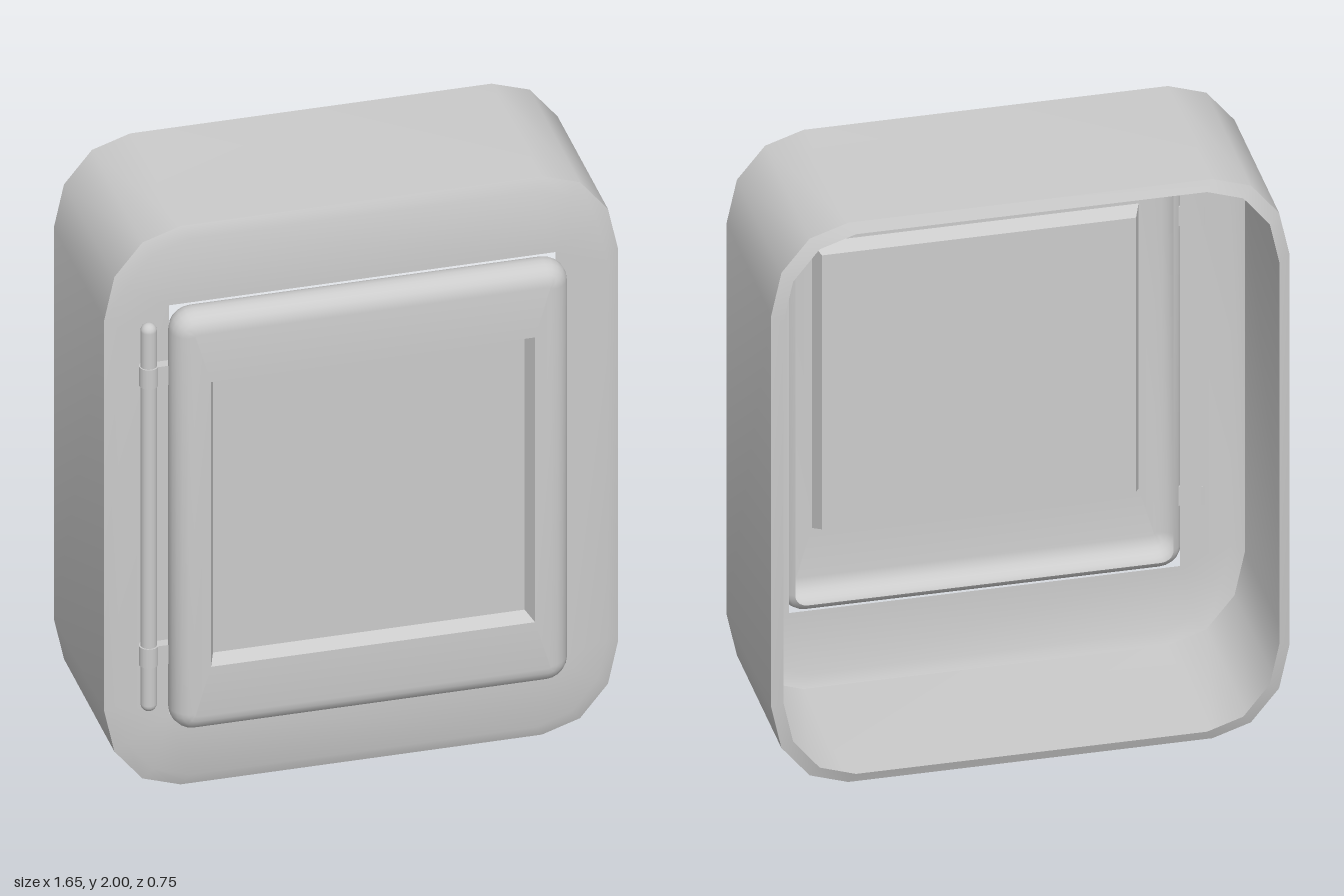
import * as THREE from 'three';
import { toCreasedNormals } from 'three/addons/utils/BufferGeometryUtils.js';

const CY = 1; // height of the centre of the cabinet
const material = new THREE.MeshStandardMaterial({ color: 0xcccccc, side: THREE.DoubleSide });

// Rounded rectangle around (0, CY), counter-clockwise, with n segments per corner
function ring(hx, hy, rx, ry, z, n) {
  const points = [];
  const signs = [[1, 1], [-1, 1], [-1, -1], [1, -1]];
  signs.forEach(([sx, sy], q) => {
    for (let i = 0; i <= n; i++) {
      const a = (q + i / n) * Math.PI / 2;
      points.push([sx * (hx - rx) + rx * Math.cos(a), CY + sy * (hy - ry) + ry * Math.sin(a), z]);
    }
  });
  return points;
}

// Skin over successive rings, from the front inner ring to the back one
function loft(rings, crease, closeFront = false) {
  const count = rings[0].length;
  const index = [];
  for (let j = 0; j < rings.length - 1; j++) {
    for (let i = 0; i < count; i++) {
      const k = (i + 1) % count;
      const a = j * count + i, b = j * count + k;
      index.push(a, a + count, b + count, a, b + count, b);
    }
  }
  if (closeFront) for (let i = 1; i < count - 1; i++) index.push(0, i, i + 1);
  const geometry = new THREE.BufferGeometry();
  geometry.setAttribute('position', new THREE.Float32BufferAttribute(rings.flat(2), 3));
  geometry.setIndex(index);
  return toCreasedNormals(geometry, crease);
}

function add(parent, name, geometry, x = 0, y = 0, z = 0) {
  const mesh = new THREE.Mesh(geometry, material);
  mesh.name = name;
  mesh.position.set(x, y, z);
  parent.add(mesh);
  return mesh;
}

export function createModel() {
  const model = new THREE.Group();
  model.name = 'wallCabinet';

  // Open-backed housing: door opening, front plate, chamfer, walls, back lip
  const bodyRing = (inset, z) => ring(0.825 - inset, 1 - inset, 0.245 - inset * 0.4, 0.3 - inset * 0.4, z, 3);
  add(model, 'housing', loft([
    ring(0.622, 0.732, 0, 0, 0.25, 3),
    bodyRing(0.04, 0.25),
    bodyRing(0, 0.233),
    bodyRing(0, -0.358),
    bodyRing(0.035, -0.374),
  ], 0.75));

  // Hollow door: sunken panel, flat frame, rounded rim curling behind
  const N = 5, R = 0.065;
  const doorRings = [
    ring(0.5, 0.49, 0, 0, 0.322, N),
    ring(0.52, 0.51, 0, 0, 0.372, N),
  ];
  for (let i = 0; i <= 9; i++) {
    const a = THREE.MathUtils.degToRad(90 - i * 17);
    const inset = R * (1 - Math.cos(a));
    const r = 0.075 - inset;
    doorRings.push(ring(0.638 - inset, 0.748 - inset, r, r, 0.307 + R * Math.sin(a), N));
  }
  add(model, 'door', loft(doorRings, 0.6, true));

  // Hinge rod with two knuckles joined to the door
  const hinge = new THREE.Group();
  hinge.name = 'hinge';
  model.add(hinge);
  const hx = -0.695, hz = 0.28;
  add(hinge, 'hingeRod', new THREE.CapsuleGeometry(0.026, 1.333, 5, 16), hx, 1.003, hz);
  for (const y of [0.51, 1.51]) {
    add(hinge, 'hingeKnuckle', new THREE.CylinderGeometry(0.031, 0.031, 0.068, 16), hx, y, hz);
    add(hinge, 'hingeLeaf', new THREE.BoxGeometry(0.065, 0.068, 0.034), hx + 0.0475, y, hz);
  }
  return model;
}
